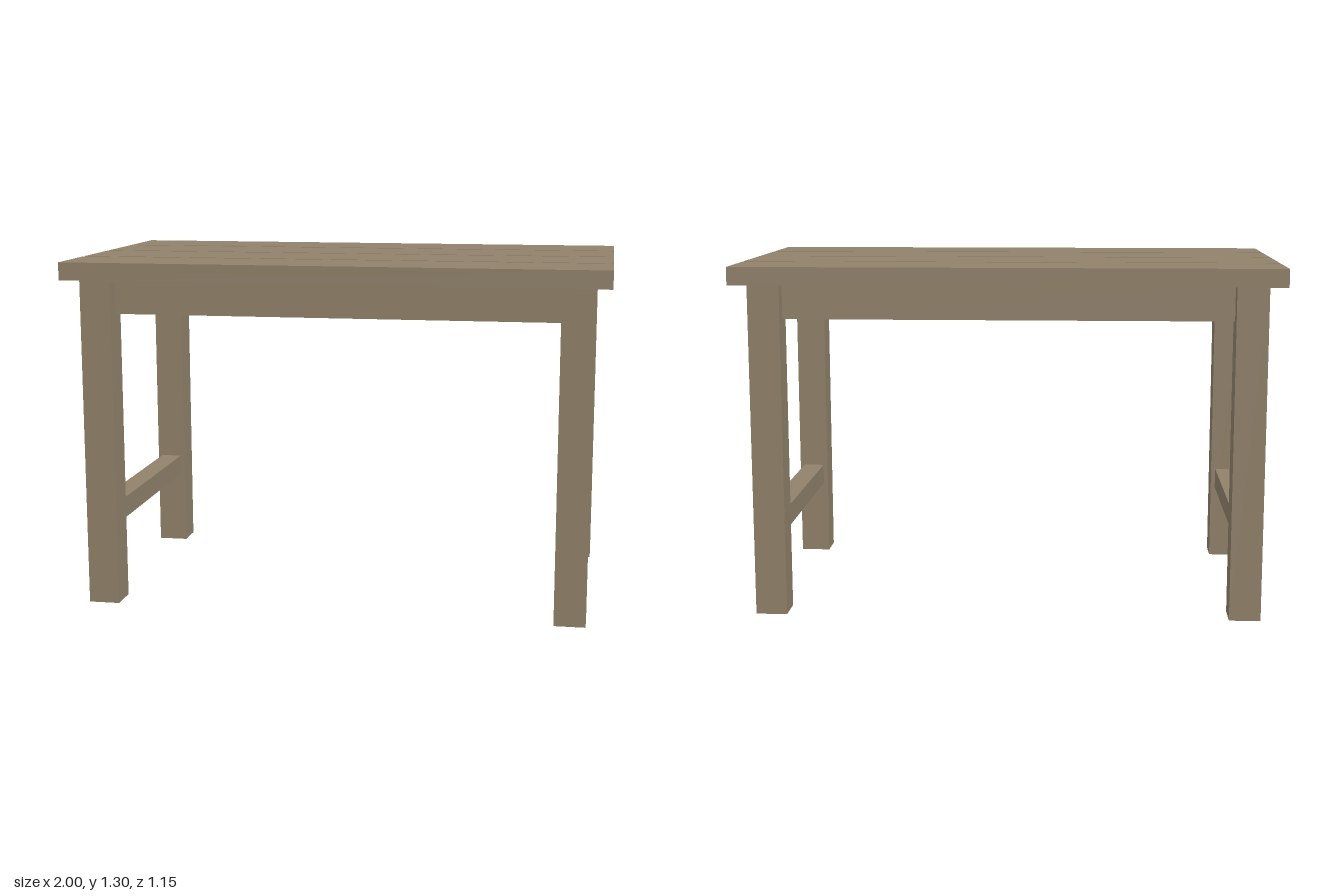
import * as THREE from 'three';

export function createModel() {
  const group = new THREE.Group();
  group.name = 'table';

  const wood = new THREE.MeshStandardMaterial({ color: 0x90816a });
  wood.name = 'weatheredWood';

  // Box placed by its centre x and z and its bottom y
  const addBox = (name, w, h, d, x, y, z) => {
    const mesh = new THREE.Mesh(new THREE.BoxGeometry(w, h, d), wood);
    mesh.name = name;
    mesh.position.set(x, y + h / 2, z);
    group.add(mesh);
  };

  const legSize = 0.116, legX = 0.881, legZ = 0.468;
  const frameTop = 1.235, frameBottom = 1.103;

  // Four tabletop planks with narrow gaps
  const plankDepth = 0.275, pitch = 0.2917;
  for (let i = 0; i < 4; i++) {
    addBox('tabletopPlank' + (i + 1), 2, 0.066, plankDepth, 0, frameTop, (i - 1.5) * pitch);
  }

  // Solid apron block running between the leg centres
  addBox('apron', legX * 2, frameTop - frameBottom, legZ * 2, 0, frameBottom, 0);

  // Legs, and a low stretcher joining each end pair
  for (const [side, sx] of [['left', 1], ['right', -1]]) {
    for (const [end, sz] of [['Front', 1], ['Back', -1]]) {
      addBox(side + end + 'Leg', legSize, frameTop, legSize, sx * legX, 0, sz * legZ);
    }
    addBox(side + 'Stretcher', 0.082, 0.08, legZ * 2, sx * legX, 0.296, 0);
  }

  return group;
}
